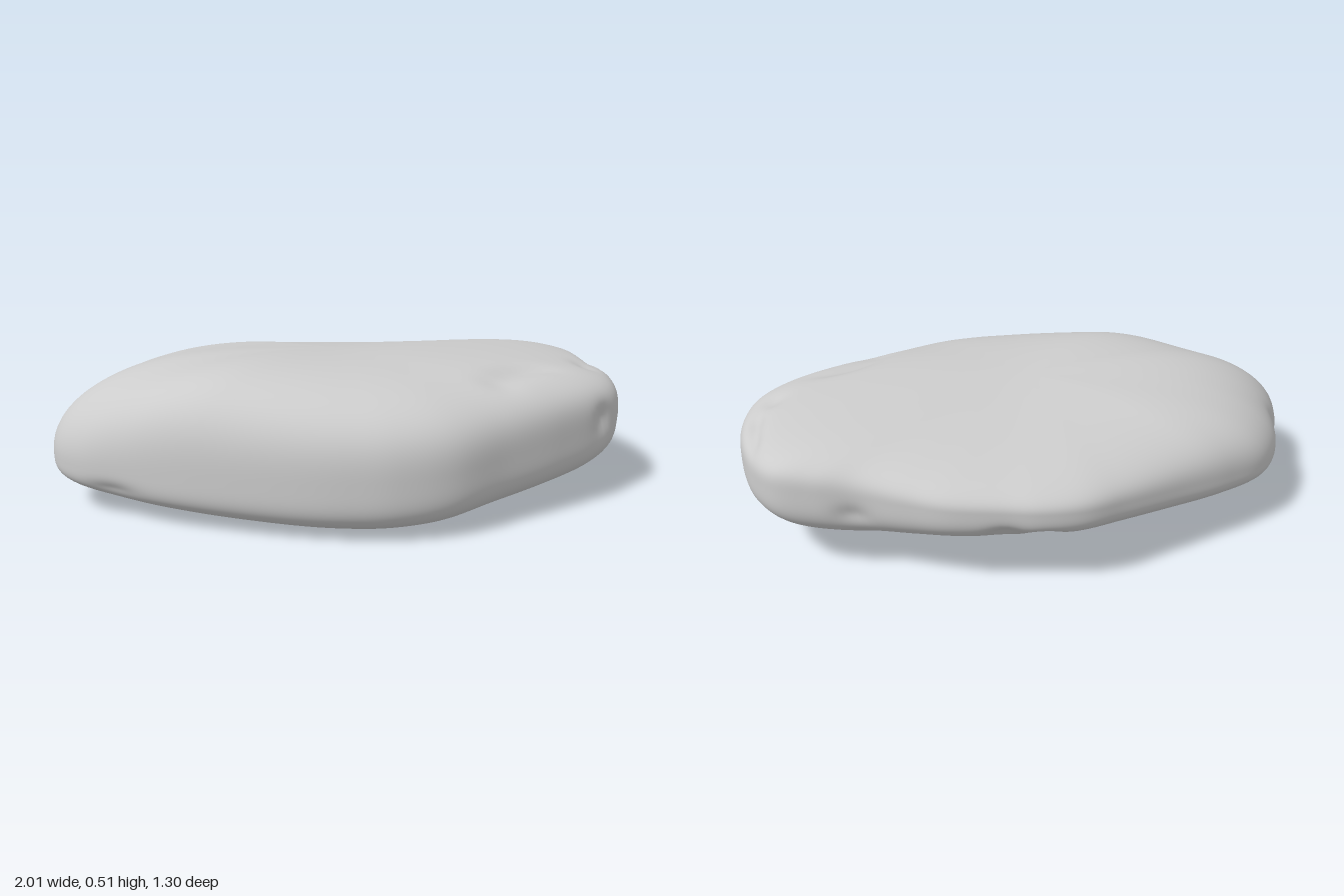
import * as THREE from 'three';

// Plan outline (x, z), running from the left end round by the front
const OUTLINE = [
  [1, 0], [0.99, 0.12], [0.96, 0.22], [0.88, 0.31], [0.7, 0.42], [0.5, 0.52], [0.3, 0.62], [0.12, 0.645],
  [-0.03, 0.63], [-0.2, 0.59], [-0.5, 0.48], [-0.75, 0.36], [-0.9, 0.27], [-0.98, 0.18], [-1, 0.08],
  [-0.97, -0.02], [-0.92, -0.13], [-0.86, -0.26], [-0.76, -0.38], [-0.6, -0.46], [-0.4, -0.53], [-0.2, -0.6],
  [-0.05, -0.648], [0.1, -0.648], [0.2, -0.625], [0.38, -0.58], [0.5, -0.52], [0.65, -0.44], [0.78, -0.4],
  [0.9, -0.34], [0.96, -0.24], [0.99, -0.12],
];

// Small pits and knobs: centre, radii, depth (negative depth swells outwards)
const DENTS = [
  // crescent groove on the front shoulder
  [[0.49, 0.41, 0.36], [0.06, 0.1, 0.05], 0.014],
  [[0.54, 0.42, 0.3], [0.06, 0.1, 0.05], 0.016],
  [[0.6, 0.43, 0.26], [0.06, 0.1, 0.045], 0.016],
  [[0.67, 0.43, 0.23], [0.07, 0.1, 0.04], 0.012],
  // crease over the left end
  [[0.95, 0.41, -0.14], [0.03, 0.08, 0.08], 0.018],
  [[0.94, 0.41, -0.02], [0.03, 0.08, 0.07], 0.018],
  [[0.88, 0.43, 0.09], [0.04, 0.08, 0.05], 0.015],
  [[0.9, 0.3, 0.31], [0.06, 0.05, 0.03], 0.02],
  [[0.97, 0.19, -0.1], [0.1, 0.025, 0.05], 0.025],
  [[1, 0.29, 0.1], [0.08, 0.05, 0.09], -0.01],
  // pits along the back edge
  [[0.66, 0.25, -0.44], [0.05, 0.04, 0.05], 0.015],
  [[0.2, 0.22, -0.6], [0.05, 0.04, 0.07], 0.018],
  [[0.08, 0.2, -0.6], [0.05, 0.035, 0.07], 0.02],
  // right end
  [[-0.78, 0.11, 0.32], [0.09, 0.03, 0.08], 0.014],
  [[-0.92, 0.25, -0.1], [0.07, 0.06, 0.04], 0.01],
];

const AROUND = 220, RINGS = 110;
const smooth = THREE.MathUtils.smoothstep;

// Height of the widest line, the top face and the underside
const rimY = (x, z) => 0.25 + 0.05 * x - 0.08 * z;
const topY = (x, z) => 0.5 - 0.06 * x + 0.045 * Math.sqrt(x * x + 0.02)
  - (0.13 - 0.08 * smooth(x, 0, 0.8)) * (Math.sqrt(z * z + 0.01) - z) / 2
  + 0.005 * Math.sin(5 * x + 3 * z) * Math.cos(4 * z - x);
const bottomY = (x, z) => 0.05 * x * x + 0.03 * Math.max(x, 0) ** 2
  + (0.15 - 0.06 * smooth(x, 0.3, 0.9)) * Math.max(0.45 - z, 0) ** 1.8
  + 0.003 * Math.sin(6 * x - 4 * z);

// How square the shoulder is at an edge point, above and below the rim
const topBulge = (e) => 2.5 + 1.3 * smooth(e.x, 0.3, 1) + 0.5 * smooth(e.z, 0.2, 0.5)
  - 0.5 * smooth(-e.x, 0.5, 0.9);
const bottomBulge = (e) => 3.8 + 0.5 * smooth(e.z, -0.2, 0.4) * smooth(-e.x, -1, 0.2);

function stoneGeometry() {
  const curve = new THREE.CatmullRomCurve3(OUTLINE.map(([x, z]) => new THREE.Vector3(x, 0, z)), true);
  const edge = curve.getSpacedPoints(AROUND);
  const positions = [], index = [];

  // Rounded-square meridians from the underside's middle to the top's middle
  for (let j = 0; j <= RINGS; j++) {
    const phi = (j / RINGS - 0.5) * Math.PI;
    const c = Math.max(Math.cos(phi), 0), h = Math.abs(Math.sin(phi));
    for (let i = 0; i < AROUND; i++) {
      const e = edge[i];
      const n = phi > 0 ? topBulge(e) : bottomBulge(e);
      const r = (c ** n + h ** n) ** (1 / n);
      const x = e.x * c / r, z = e.z * c / r;
      const rim = rimY(e.x, e.z);
      const end = phi > 0 ? topY(x, z) : bottomY(x, z);
      positions.push(x, rim + (end - rim) * h / r, z);
    }
  }

  // One shared vertex at each pole
  const vertex = (i, j) => j * AROUND + (j % RINGS ? i % AROUND : 0);
  for (let j = 0; j < RINGS; j++) {
    for (let i = 0; i < AROUND; i++) {
      const a = vertex(i, j), b = vertex(i + 1, j);
      const up = vertex(i, j + 1), upB = vertex(i + 1, j + 1);
      if (up !== upB) index.push(a, up, upB);
      if (a !== b) index.push(a, upB, b);
    }
  }
  const geometry = new THREE.BufferGeometry();
  geometry.setAttribute('position', new THREE.Float32BufferAttribute(positions, 3));
  geometry.setIndex(index);
  geometry.computeVertexNormals();
  return geometry;
}

// Push the surface in along its normals around each dent
function weather(geometry) {
  const pos = geometry.attributes.position, nor = geometry.attributes.normal;
  const p = new THREE.Vector3(), n = new THREE.Vector3();
  for (let i = 0; i < pos.count; i++) {
    p.fromBufferAttribute(pos, i);
    n.fromBufferAttribute(nor, i);
    let depth = 0;
    for (const [c, r, d] of DENTS) {
      const q = ((p.x - c[0]) / r[0]) ** 2 + ((p.y - c[1]) / r[1]) ** 2 + ((p.z - c[2]) / r[2]) ** 2;
      depth += d * Math.exp(-q);
    }
    p.addScaledVector(n, -depth);
    pos.setXYZ(i, p.x, p.y, p.z);
  }
  geometry.computeVertexNormals();

  // Rest on the ground, centred
  geometry.computeBoundingBox();
  const box = geometry.boundingBox, mid = box.getCenter(new THREE.Vector3());
  geometry.translate(-mid.x, -box.min.y, -mid.z);
  return geometry;
}

export function createModel() {
  const group = new THREE.Group();
  group.name = 'rock';
  const stone = new THREE.Mesh(
    weather(stoneGeometry()),
    new THREE.MeshStandardMaterial({ color: 0xcccccc }),
  );
  stone.name = 'stone';
  group.add(stone);
  return group;
}
